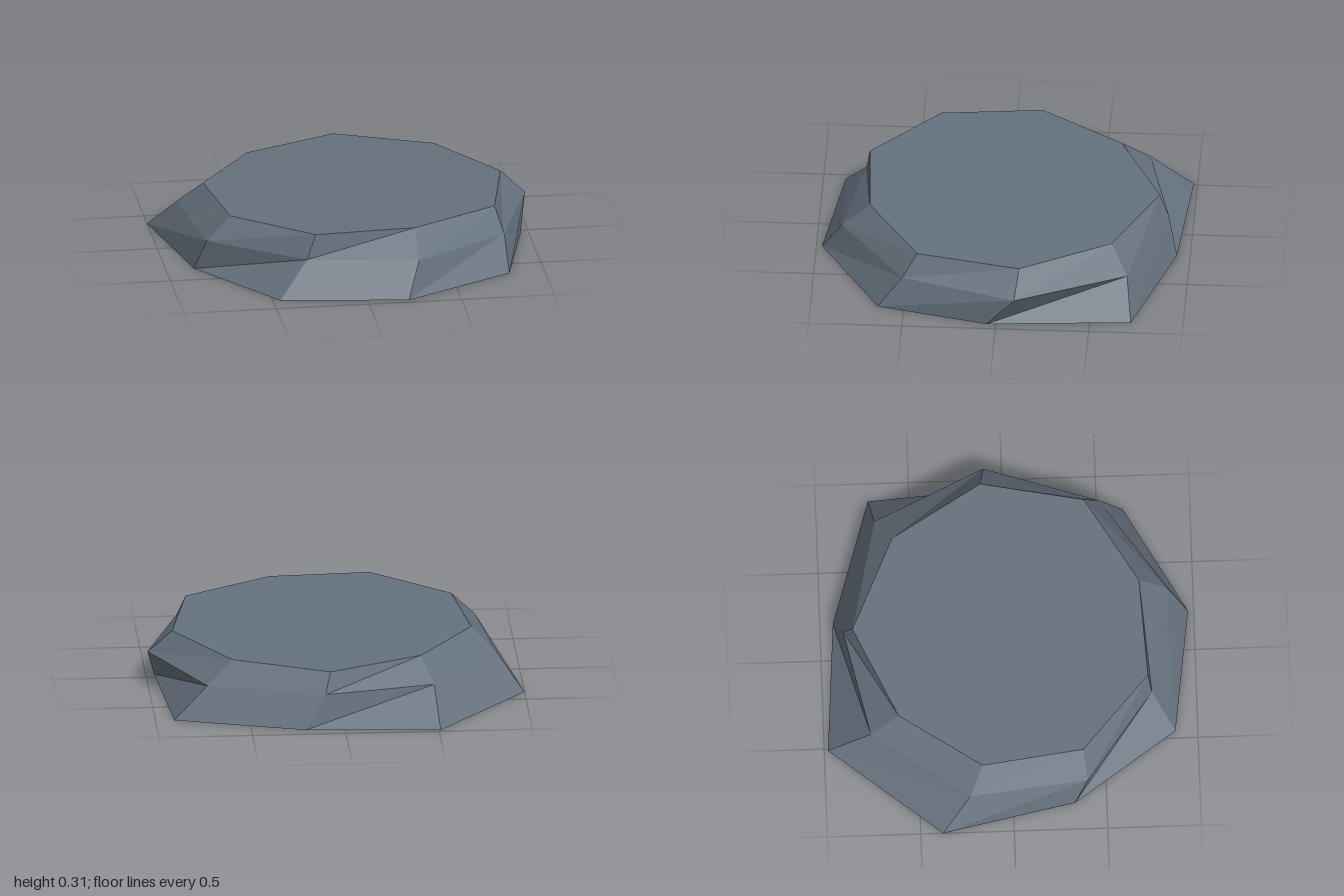
import * as THREE from 'three';

// Three nine-cornered outlines [x, z], clockwise seen from above
const base = [[-0.51, -0.98], [0.21, -0.93], [0.9, -0.72], [0.955, 0.05], [0.81, 0.64],
  [0.22, 0.97], [-0.46, 0.88], [-0.85, 0.33], [-1, -0.38]];
const shoulder = [[-0.49, -0.75], [0.1, -0.88], [0.72, -0.69], [1, -0.1], [0.8, 0.51],
  [0.29, 0.86], [-0.3, 0.76], [-0.79, 0.4], [-0.86, -0.23]];
const rim = [[-0.43, -0.6], [0.07, -0.83], [0.58, -0.6], [0.87, -0.12], [0.76, 0.43],
  [0.29, 0.71], [-0.25, 0.74], [-0.66, 0.38], [-0.73, -0.16]];

export function createModel() {
  const slate = new THREE.MeshStandardMaterial({ color: 0x65717d, flatShading: true });
  slate.name = 'slate grey';

  // Lift the outlines; the top face tilts slightly towards the back
  const rings = [
    base.map(([x, z]) => [x, 0, z]),
    shoulder.map(([x, z]) => [x, 0.18, z]),
    rim.map(([x, z]) => [x, 0.303 + 0.014 * z, z]),
  ];
  const n = base.length;
  const sides = [], top = [], bottom = [];
  for (let i = 0; i < n; i++) {
    const j = (i + 1) % n;
    // Two bands of side facets
    for (let k = 0; k < 2; k++) {
      const lo = rings[k], hi = rings[k + 1];
      sides.push(lo[j], lo[i], hi[i], lo[j], hi[i], hi[j]);
    }
    // Flat caps
    top.push([0, 0.303, 0], rings[2][j], rings[2][i]);
    bottom.push([0, 0, 0], rings[0][i], rings[0][j]);
  }

  const group = new THREE.Group();
  group.name = 'flatRock';
  const add = (name, points) => {
    const geometry = new THREE.BufferGeometry();
    geometry.setAttribute('position', new THREE.Float32BufferAttribute(points.flat(), 3));
    geometry.computeVertexNormals();
    const mesh = new THREE.Mesh(geometry, slate);
    mesh.name = name;
    group.add(mesh);
  };
  add('rockSides', sides);
  add('rockTop', top);
  add('rockUnderside', bottom);
  return group;
}
